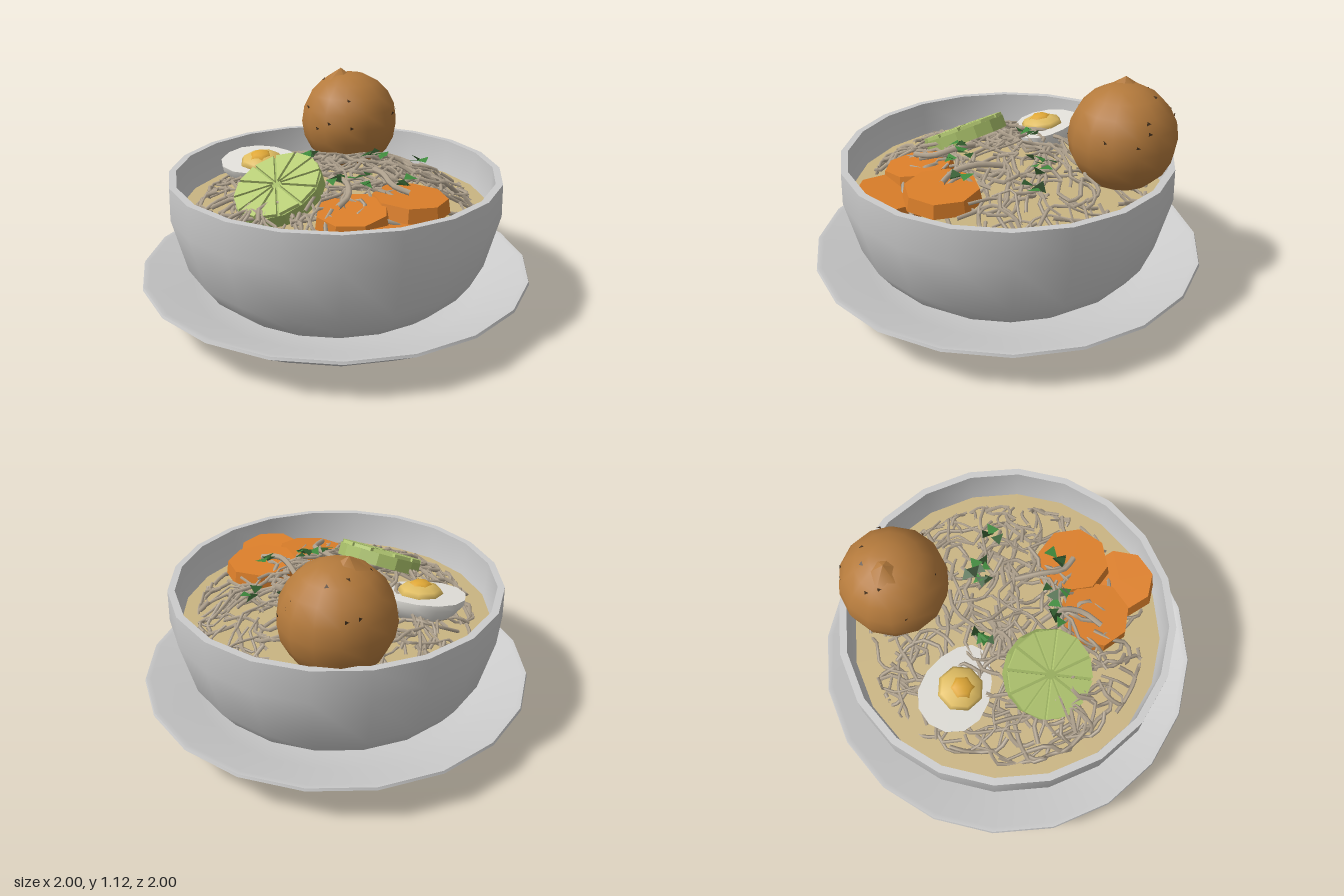
import * as THREE from 'three';
import { mergeGeometries, toCreasedNormals } from 'three/addons/utils/BufferGeometryUtils.js';

const mat = (color, extra = {}) => new THREE.MeshStandardMaterial({ color, ...extra });

// Small seeded generator, range a..b
let seed = 7;
const rnd = (a = 0, b = 1) => {
  seed = (seed * 16807) % 2147483647;
  return a + (b - a) * (seed / 2147483647);
};

function add(parent, name, geometry, material, x = 0, y = 0, z = 0) {
  const mesh = new THREE.Mesh(geometry, material);
  mesh.name = name;
  mesh.position.set(x, y, z);
  parent.add(mesh);
  return mesh;
}

// Turned ware with facets square to the axes
const SIDES = 20;
const turned = (profile) => toCreasedNormals(new THREE.LatheGeometry(
  profile.map(([r, y]) => new THREE.Vector2(r * 1.012, y)), SIDES, Math.PI / SIDES), 0.7);

const BROTH = 0.53;
const heap = (r) => BROTH + 0.19 * Math.max(0, 1 - (r / 0.72) ** 2);

// Tangle of short bent noodles following the heap
function noodleTangle(count) {
  const parts = [];
  for (let i = 0; i < count; i++) {
    const a = rnd(0, Math.PI * 2), r = 0.68 * Math.sqrt(rnd(0.01, 1));
    let x = r * Math.cos(a), z = r * Math.sin(a), dir = rnd(0, Math.PI * 2);
    const points = [];
    for (let k = 0; k < 5; k++) {
      const d = Math.hypot(x, z), s = d > 0.71 ? 0.71 / d : 1;
      x *= s; z *= s;
      points.push(new THREE.Vector3(x, heap(d) + rnd(-0.025, 0.035), z));
      dir += rnd(-1.3, 1.3);
      const step = rnd(0.06, 0.11);
      x += step * Math.cos(dir);
      z += step * Math.sin(dir);
    }
    const curve = new THREE.CatmullRomCurve3(points, false, 'catmullrom', 0.2);
    parts.push(new THREE.TubeGeometry(curve, 8, rnd(0.007, 0.012), 4));
  }
  return mergeGeometries(parts);
}

// Half egg, cut face up, narrower toward +x
function halfEgg() {
  const profile = [[0, -0.15], [0.07, -0.135], [0.13, -0.09], [0.165, -0.03], [0.168, 0], [0, 0]];
  const g = new THREE.LatheGeometry(profile.map(([r, y]) => new THREE.Vector2(r, y)), 14);
  const p = g.attributes.position;
  for (let i = 0; i < p.count; i++) {
    const x = p.getX(i) * 1.36;
    p.setXYZ(i, x, p.getY(i), p.getZ(i) * (1 - 0.9 * x));
  }
  return toCreasedNormals(g, 0.7);
}

// Citrus wheel: rind disc carrying raised wedges
function citrusWheel(radius, wedges) {
  const group = new THREE.Group();
  group.name = 'limeSlice';
  const disc = new THREE.CylinderGeometry(radius, radius, 0.065, 14).rotateX(Math.PI / 2);
  add(group, 'limeRind', disc, mat(0xa3ba66, { flatShading: true }), 0, 0, -0.0475);
  const half = Math.PI / wedges;
  const shape = new THREE.Shape();
  shape.moveTo(0.025, 0);
  shape.lineTo((radius - 0.004) * Math.cos(half * 0.86), radius * Math.sin(half * 0.86));
  shape.lineTo((radius - 0.004) * Math.cos(half * 0.86), -radius * Math.sin(half * 0.86));
  shape.closePath();
  const flesh = mat(0xb6cc74);
  for (let i = 0; i < wedges; i++) {
    const wedge = add(group, 'limeWedge',
      new THREE.ExtrudeGeometry(shape, { depth: 0.018, bevelEnabled: false }), flesh, 0, 0, -0.016);
    wedge.rotation.z = i * half * 2;
  }
  return group;
}

export function createModel() {
  seed = 7;
  const model = new THREE.Group();
  model.name = 'noodleSoup';
  const ceramic = mat(0xcccccc);

  // Saucer, bowl and broth
  add(model, 'saucer', turned([
    [0, 0], [0.3, 0.003], [0.6, 0.018], [0.78, 0.05], [0.97, 0.18], [1, 0.2], [0.995, 0.213],
    [0.97, 0.21], [0.75, 0.11], [0.55, 0.08], [0, 0.08],
  ]), ceramic);
  add(model, 'bowl', turned([
    [0, 0.08], [0.6, 0.085], [0.7, 0.17], [0.77, 0.27], [0.84, 0.55], [0.835, 0.715],
    [0.8, 0.715], [0.795, 0.55], [0.74, 0.4], [0, 0.36],
  ]), ceramic);
  const broth = add(model, 'broth', new THREE.CircleGeometry(0.795, 20).rotateX(-Math.PI / 2),
    mat(0xc9b482), 0, BROTH, 0);
  broth.rotation.y = Math.PI / SIDES;

  add(model, 'noodles', noodleTangle(210), mat(0xb5a793));

  // Fried ball with a small tip and dark specks
  const ball = new THREE.Group();
  ball.name = 'friedBall';
  ball.position.set(-0.33, 0.825, -0.47);
  model.add(ball);
  const crust = mat(0xb47a3c);
  add(ball, 'ballCrust', new THREE.SphereGeometry(0.272, 14, 10), crust);
  add(ball, 'ballTip', new THREE.ConeGeometry(0.09, 0.06, 6), crust, -0.04, 0.265, 0.03);
  const speck = mat(0x4a3520, { side: THREE.DoubleSide });
  for (let i = 0; i < 16; i++) {
    const n = new THREE.Vector3(rnd(-1, 1), rnd(0, 1), rnd(-1, 1)).normalize();
    const s = add(ball, 'ballSpeck', new THREE.CircleGeometry(0.013, 3), speck);
    s.position.copy(n).multiplyScalar(0.272);
    s.lookAt(n.multiplyScalar(2));
  }

  // Half egg with its yolk
  const egg = new THREE.Group();
  egg.name = 'egg';
  egg.position.set(-0.42, 0.7, 0.12);
  egg.rotation.set(0.16, 0.42, -0.06);
  model.add(egg);
  add(egg, 'eggWhite', halfEgg(), mat(0xe2e0da));
  add(egg, 'yolk', new THREE.SphereGeometry(0.115, 8, 6).scale(1, 0.4, 1), mat(0xe0bd62), 0, 0, 0.015);
  add(egg, 'yolkCentre', new THREE.SphereGeometry(0.07, 6, 5).scale(1, 0.6, 1), mat(0xe0a836), 0, 0.018, 0.02);

  // Lime slice leaning back on the noodles
  const lime = citrusWheel(0.225, 12);
  lime.position.set(-0.04, 0.725, 0.375);
  lime.rotation.x = -THREE.MathUtils.degToRad(62);
  model.add(lime);

  // Carrot slices: [x, y, z, radius, tilt x, tilt z]
  const orange = mat(0xdc7f2a, { flatShading: true });
  for (const [x, y, z, r, tx, tz] of [
    [0.47, 0.65, -0.02, 0.195, 0.12, -0.15],
    [0.6, 0.59, 0.21, 0.185, 0.1, -0.2],
    [0.36, 0.635, 0.27, 0.185, 0.18, -0.08],
  ]) {
    const slice = add(model, 'carrotSlice', new THREE.CylinderGeometry(r * 0.93, r, 0.07, 8), orange, x, y, z);
    slice.rotation.set(tx, x * 3, tz);
  }

  // Loose noodles lying over the carrots
  const strands = [
    [[0.1, 0.73, 0.14], [0.22, 0.74, 0.16], [0.3, 0.71, 0.23], [0.33, 0.69, 0.34]],
    [[0.16, 0.72, -0.12], [0.28, 0.74, -0.05], [0.38, 0.72, 0], [0.47, 0.7, -0.02]],
  ];
  for (const pts of strands) {
    const curve = new THREE.CatmullRomCurve3(pts.map((p) => new THREE.Vector3(...p)));
    add(model, 'looseNoodle', new THREE.TubeGeometry(curve, 8, 0.015, 5), mat(0xb5a793));
  }

  // Herb flakes in small clusters
  const greens = [0x3f8a3c, 0x2f5a2c, 0x24401f].map((c) => mat(c, { side: THREE.DoubleSide }));
  for (const [cx, cz, n, spread] of [
    [0.15, -0.37, 6, 0.1], [0.04, -0.2, 6, 0.1], [-0.15, 0.02, 5, 0.05],
    [0.38, -0.07, 3, 0.04], [0.24, 0.09, 5, 0.07], [0.16, 0.18, 3, 0.04],
  ]) {
    for (let i = 0; i < n; i++) {
      const x = cx + rnd(-spread, spread), z = cz + rnd(-spread, spread);
      const y = Math.max(heap(Math.hypot(x, z)) + 0.04, 0.72) + rnd(0, 0.02);
      const flake = add(model, 'herbFlake', new THREE.CircleGeometry(rnd(0.03, 0.045), 3), greens[i % 3], x, y, z);
      flake.rotation.set(-Math.PI / 2 + rnd(-0.4, 0.4), rnd(-0.4, 0.4), rnd(0, 6));
    }
  }
  return model;
}
